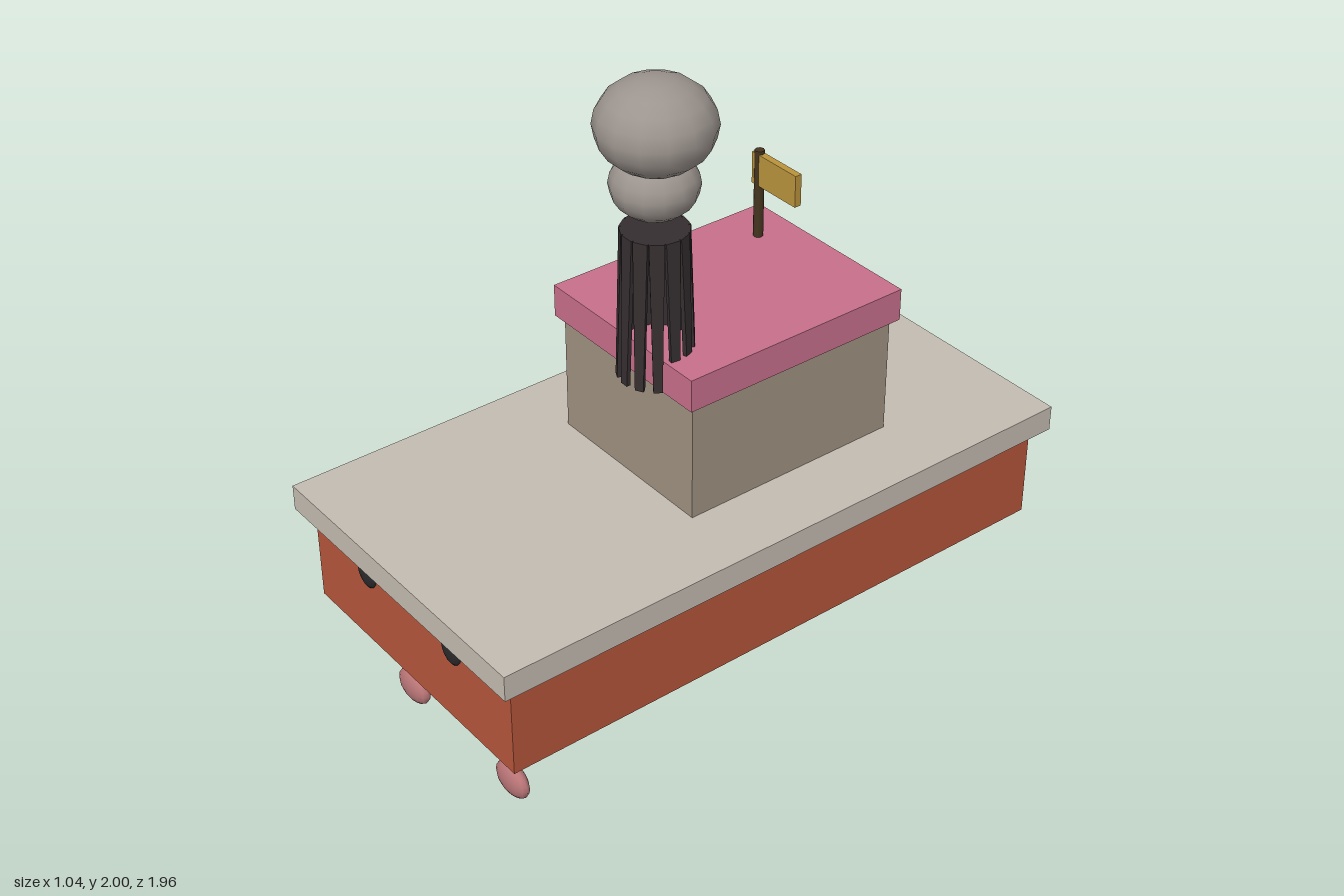
import * as THREE from 'three';

const mat = (color) => new THREE.MeshStandardMaterial({ color });
const colors = {
  hull: mat(0xb5563b), deck: mat(0xc4bcb2), cabin: mat(0xa09282), roof: mat(0xc8708c),
  funnel: mat(0x352e30), smoke: mat(0x9c948e), pole: mat(0x45351f), flag: mat(0xba943c),
  eye: mat(0x2c2c2e), cheek: mat(0xb87476),
};

export function createModel() {
  const model = new THREE.Group();
  model.name = 'toyBoat';

  function add(name, geometry, material, x, y, z, parent = model) {
    const mesh = new THREE.Mesh(geometry, material);
    mesh.name = name;
    mesh.position.set(x, y, z);
    parent.add(mesh);
    return mesh;
  }
  // Box given by its size, its bottom height and its centre in z
  const block = (name, w, h, d, material, y, z) =>
    add(name, new THREE.BoxGeometry(w, h, d), material, 0, y + h / 2, z);
  // Squashed ball
  const ball = (name, rx, ry, rz, material, x, y, z) =>
    add(name, new THREE.SphereGeometry(1, 14, 10).scale(rx, ry, rz), material, x, y, z);

  // Hull, deck and cabin
  block('hull', 0.96, 0.3, 1.87, colors.hull, 0.32, 0);
  block('deck', 1.04, 0.08, 1.955, colors.deck, 0.62, 0);
  block('cabin', 0.58, 0.37, 0.71, colors.cabin, 0.7, -0.165);
  block('roof', 0.62, 0.1, 0.75, colors.roof, 1.07, -0.165);

  // Funnel: a ring of slats that narrow towards the bottom, closed by a cap
  const funnel = new THREE.Group();
  funnel.name = 'funnel';
  funnel.position.set(0.105, 1.305, 0.17);
  model.add(funnel);
  const count = 13, height = 0.45, topRadius = 0.088, bottomRadius = 0.103;
  const slat = new THREE.BoxGeometry(0.042, height, 0.012);
  const p = slat.attributes.position;
  for (let i = 0; i < p.count; i++) {
    const top = p.getY(i) > 0;
    p.setX(i, p.getX(i) * (top ? 1 : 0.6));
    p.setZ(i, p.getZ(i) + (top ? topRadius : bottomRadius));
  }
  slat.computeVertexNormals();
  for (let i = 0; i < count; i++) {
    add('funnelSlat', slat, colors.funnel, 0, 0, 0, funnel).rotation.y = (i / count) * Math.PI * 2;
  }
  add('funnelCap', new THREE.CylinderGeometry(0.092, 0.092, 0.015, count), colors.funnel,
    0, height / 2 - 0.0075, 0, funnel);

  // Smoke puffs
  ball('smallSmokePuff', 0.123, 0.098, 0.123, colors.smoke, 0.105, 1.663, 0.17);
  ball('largeSmokePuff', 0.164, 0.13, 0.164, colors.smoke, 0.163, 1.87, 0.21);

  // Flag on its pole
  add('flagPole', new THREE.CylinderGeometry(0.015, 0.015, 0.28, 8), colors.pole, -0.17, 1.31, -0.418);
  add('flag', new THREE.BoxGeometry(0.19, 0.1, 0.022), colors.flag, -0.095, 1.39, -0.418);

  // Face on the bow: eyes and floating cheeks
  for (const [side, s] of [['left', 1], ['right', -1]]) {
    ball(side + 'Eye', 0.046, 0.065, 0.02, colors.eye, 0.208 * s, 0.58, 0.934);
    ball(side + 'Cheek', 0.072, 0.052, 0.029, colors.cheek, 0.25 * s, 0.052, 0.792);
  }
  return model;
}
